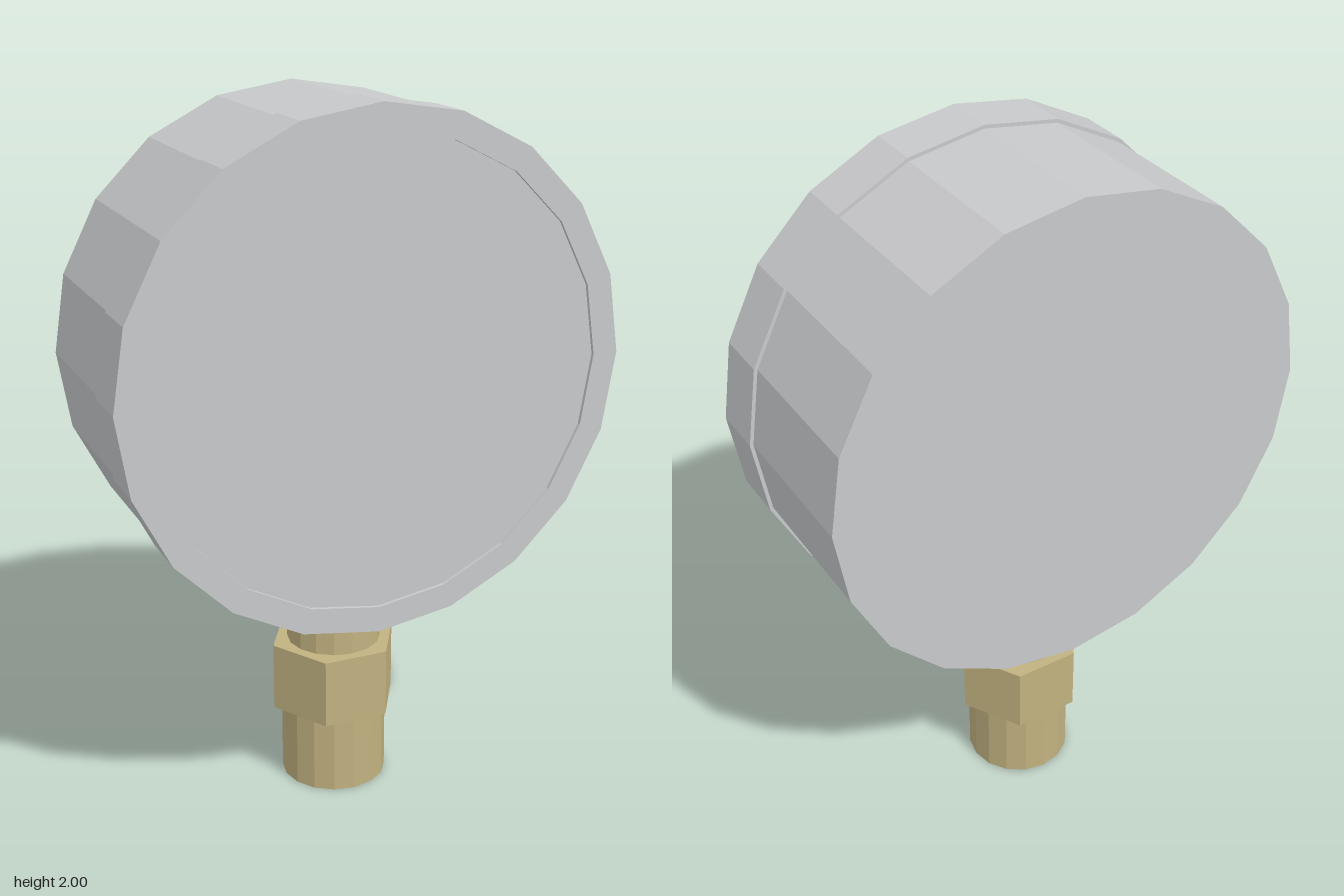
import * as THREE from 'three';

const SIDES = 20;      // facets of the round case
const CENTRE_Y = 1.29; // height of the dial axis
const STEM_Z = -0.01;

export function createModel() {
  const model = new THREE.Group();
  model.name = 'pressureGauge';

  const steel = new THREE.MeshStandardMaterial({ color: 0xc8c9cb });
  steel.name = 'steelGrey';
  const brass = new THREE.MeshStandardMaterial({ color: 0xc2b280 });
  brass.name = 'brass';
  steel.flatShading = brass.flatShading = true;

  const add = (name, geometry, material, parent) => {
    const mesh = new THREE.Mesh(geometry, material);
    mesh.name = name;
    parent.add(mesh);
    return mesh;
  };

  // Round case: profiles turned about the z axis
  const dial = new THREE.Group();
  dial.name = 'dialCase';
  dial.position.y = CENTRE_Y;
  model.add(dial);
  const turned = (name, profile) => {
    const points = profile.map(([r, z]) => new THREE.Vector2(r, z));
    add(name, new THREE.LatheGeometry(points, SIDES).rotateX(Math.PI / 2), steel, dial);
  };
  turned('caseBody', [[0, -0.3], [0.7, -0.3], [0.7, 0.15]]);
  turned('bezelRing', [[0.69, 0.147], [0.71, 0.147], [0.71, 0.3], [0.637, 0.3], [0.637, 0.285]]);
  turned('dialFace', [[0.637, 0.29], [0, 0.29]]);

  // Brass fitting below the case: [name, radius, bottom, top, sides]
  const fitting = new THREE.Group();
  fitting.name = 'fitting';
  fitting.position.z = STEM_Z;
  model.add(fitting);
  const parts = [
    ['threadedEnd', 0.152, 0, 0.23, 16],
    ['hexNut', 0.188, 0.23, 0.43, 6],
    ['neck', 0.135, 0.43, 0.63, 16],
  ];
  for (const [name, radius, bottom, top, sides] of parts) {
    const geometry = new THREE.CylinderGeometry(radius, radius, top - bottom, sides);
    geometry.rotateY(Math.PI / 2); // corners on the x axis
    add(name, geometry, brass, fitting).position.y = (bottom + top) / 2;
  }
  return model;
}
